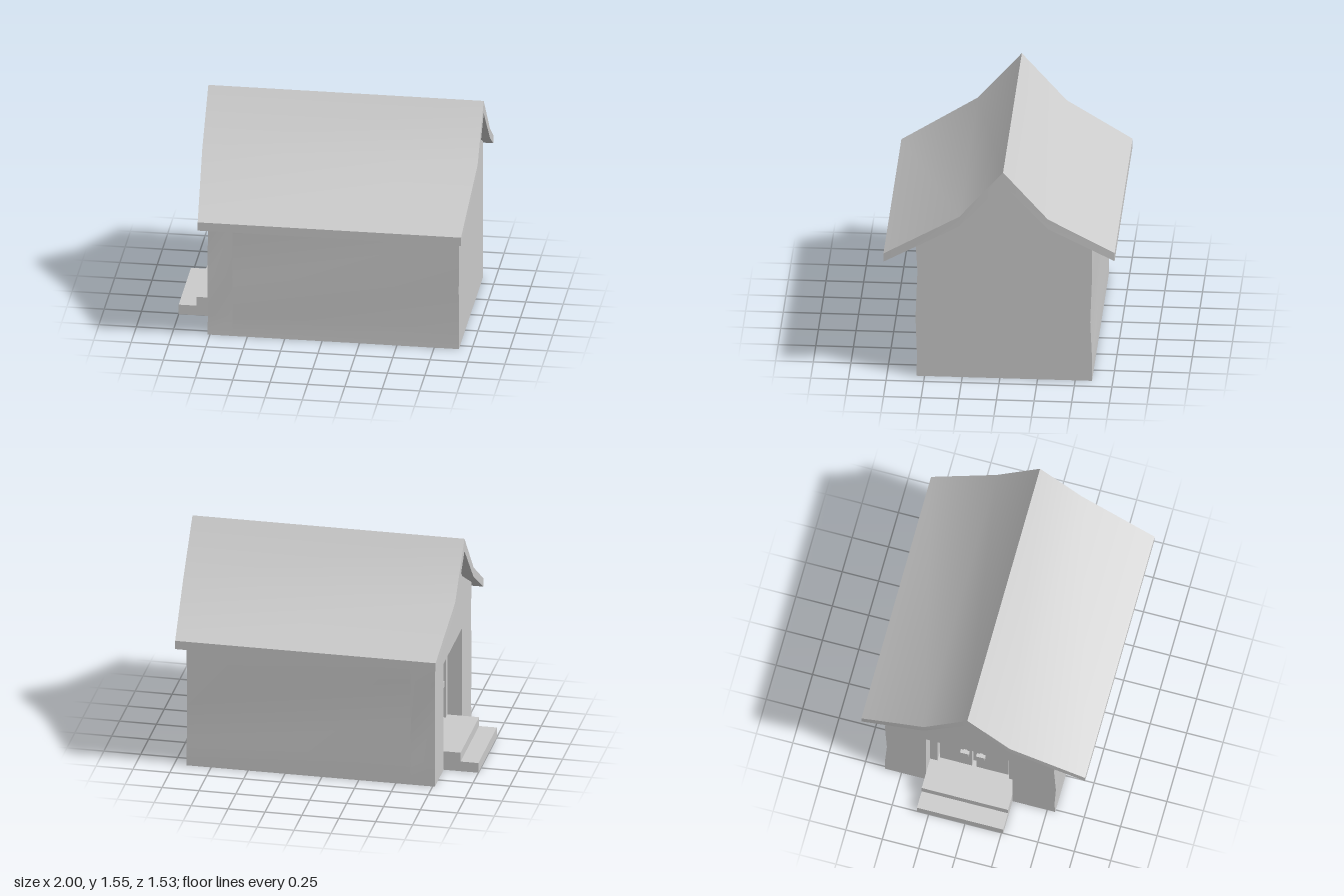
import * as THREE from 'three';
import { toCreasedNormals } from 'three/addons/utils/BufferGeometryUtils.js';

const material = new THREE.MeshStandardMaterial({ color: 0xcccccc });

// Wall and gable outline as [z, y]
const WALL = [
  [0.555, 0], [0.55, 0.14], [0.56, 0.43], [0.547, 0.77], [0.56, 0.975],
  [0.265, 1.145], [-0.027, 1.46], [-0.325, 1.145], [-0.61, 0.988],
  [-0.612, 0.75], [-0.6, 0.43], [-0.612, 0.17], [-0.612, 0],
];
// Roof cross-section as [z, y]: upper line, then underside
const ROOF = [
  [0.77, 0.912], [0.265, 1.215], [-0.027, 1.55], [-0.325, 1.215], [-0.765, 0.965],
  [-0.765, 0.905], [-0.325, 1.145], [-0.027, 1.46], [0.265, 1.145], [0.77, 0.852],
];
const DOOR = { z0: -0.33, z1: 0.262, y0: 0.134, y1: 0.77 };

const toPoints = (list) => list.map(([z, y]) => new THREE.Vector2(-z, y));

// Extrudes a [z, y] outline along x from x0 to x1
function extrudeX(outline, x0, x1, hole) {
  const shape = new THREE.Shape(toPoints(outline));
  if (hole) shape.holes.push(new THREE.Path(toPoints(hole)));
  const g = new THREE.ExtrudeGeometry(shape, { depth: x1 - x0, bevelEnabled: false });
  return g.rotateY(Math.PI / 2).translate(x0, 0, 0);
}

function add(parent, name, geometry) {
  const mesh = new THREE.Mesh(geometry, material);
  mesh.name = name;
  parent.add(mesh);
  return mesh;
}

// Box given by its limits on each axis
function addBox(parent, name, x0, x1, y0, y1, z0, z1) {
  const g = new THREE.BoxGeometry(x1 - x0, y1 - y0, z1 - z0);
  add(parent, name, g.translate((x0 + x1) / 2, (y0 + y1) / 2, (z0 + z1) / 2));
}

export function createModel() {
  const house = new THREE.Group();
  house.name = 'house';

  // House body, with the doorway cut into the entrance wall
  const { z0, z1, y0, y1 } = DOOR;
  add(house, 'body', toCreasedNormals(extrudeX(WALL, -0.6, 0.915), 0.5));
  const opening = [[z0, y0], [z0, y1], [z1, y1], [z1, y0]];
  add(house, 'entranceWall', toCreasedNormals(extrudeX(WALL, -0.765, -0.6, opening), 0.5));

  // Roof, its ends drawn in toward the eaves
  const roof = extrudeX(ROOF, -0.842, 1);
  const p = roof.attributes.position;
  for (let i = 0; i < p.count; i++) {
    const t = Math.max(0, (Math.abs(p.getZ(i) + 0.03) - 0.296) / 0.45);
    p.setX(i, p.getX(i) - Math.sign(p.getX(i)) * 0.04 * Math.min(t, 1));
  }
  add(house, 'roof', toCreasedNormals(roof, 0.5));

  // Entrance steps
  addBox(house, 'lowerStep', -1, -0.765, 0, 0.07, z0, z1);
  addBox(house, 'upperStep', -0.88, -0.765, 0.07, y0, z0, z1);

  // Double door: posts, leaves and handles mirrored about its middle
  const door = new THREE.Group();
  door.name = 'door';
  house.add(door);
  const mid = (z0 + z1) / 2;
  const half = (z1 - z0) / 2;
  for (const [side, s] of [['left', 1], ['right', -1]]) {
    const span = (a, b) => [mid + s * a, mid + s * b].sort((m, n) => m - n);
    addBox(door, side + 'Post', -0.665, -0.6, y0, y1, ...span(half - 0.05, half));
    addBox(door, side + 'Leaf', -0.64, -0.6, y0, y1, ...span(0.015, half - 0.06));
    addBox(door, side + 'HandleStem', -0.665, -0.64, 0.44, 0.46, ...span(0.045, 0.065));
    addBox(door, side + 'Handle', -0.69, -0.665, 0.43, 0.47, ...span(0.025, 0.085));
  }
  return house;
}
